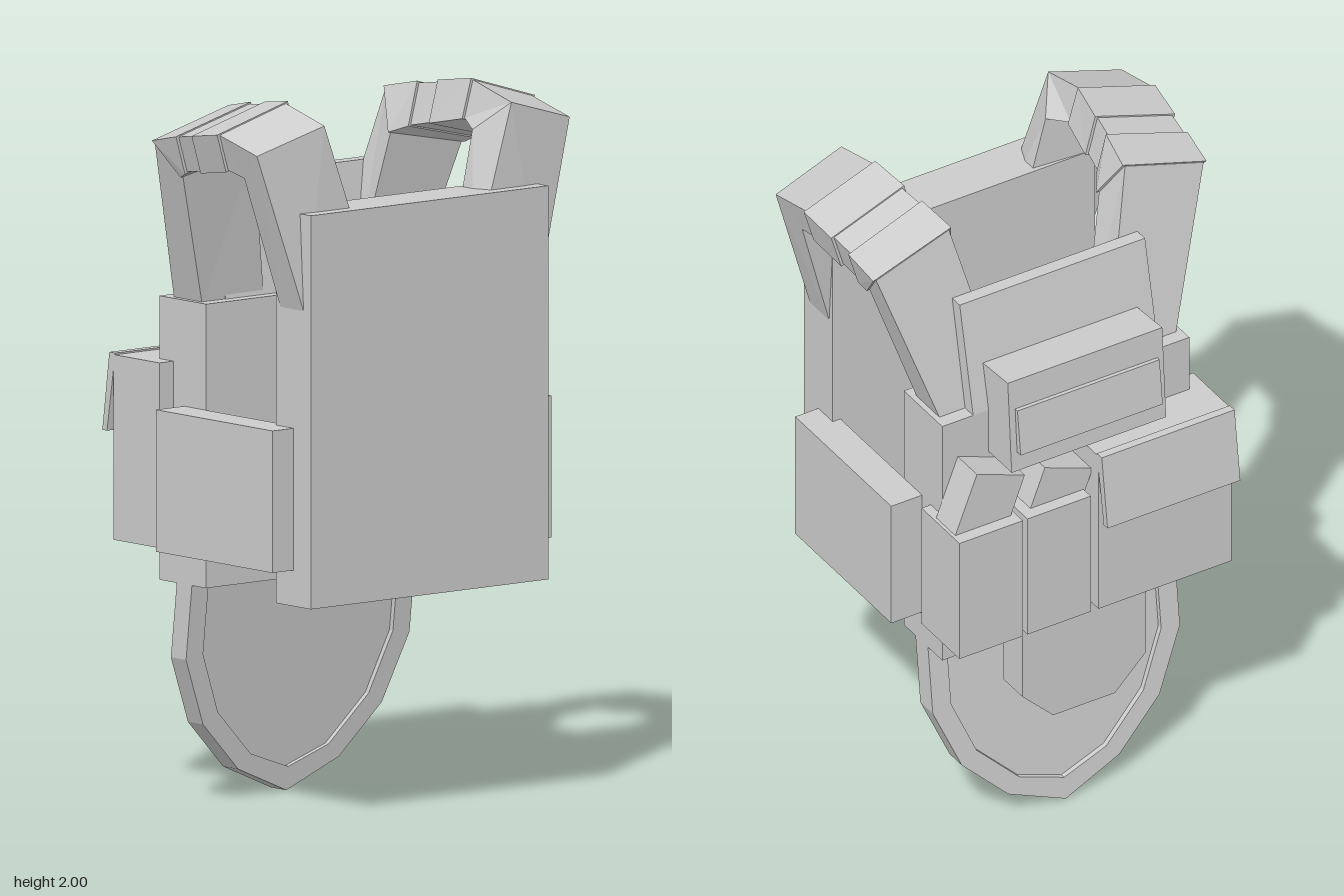
import * as THREE from 'three';

const material = new THREE.MeshStandardMaterial({ color: 0xcccccc, flatShading: true });

function add(parent, name, geometry) {
  const mesh = new THREE.Mesh(geometry, material);
  mesh.name = name;
  parent.add(mesh);
  return mesh;
}

// Box from its limits on each axis
function box(x0, x1, y0, y1, z0, z1) {
  return new THREE.BoxGeometry(x1 - x0, y1 - y0, z1 - z0)
    .translate((x0 + x1) / 2, (y0 + y1) / 2, (z0 + z1) / 2);
}

// Closed solid through convex cross-sections, turned so its faces point outward
function loft(rings) {
  const tris = [];
  const n = rings[0].length;
  const first = rings[0], last = rings[rings.length - 1];
  for (let r = 0; r < rings.length - 1; r++) {
    for (let i = 0; i < n; i++) {
      const j = (i + 1) % n;
      const a = rings[r][i], b = rings[r][j], c = rings[r + 1][j], d = rings[r + 1][i];
      tris.push([a, b, c], [a, c, d]);
    }
  }
  for (let i = 1; i < n - 1; i++) {
    tris.push([first[0], first[i + 1], first[i]], [last[0], last[i], last[i + 1]]);
  }
  let volume = 0;
  for (const [a, b, c] of tris) {
    volume += new THREE.Vector3(...a).dot(new THREE.Vector3(...b).cross(new THREE.Vector3(...c)));
  }
  if (volume < 0) tris.forEach(t => t.reverse());
  const geometry = new THREE.BufferGeometry();
  geometry.setAttribute('position', new THREE.Float32BufferAttribute(tris.flat(2), 3));
  geometry.computeVertexNormals();
  return geometry;
}

// Side profile of [z, y] points carried across x
const sideProfile = (points, x0, x1) =>
  loft([x0, x1].map(x => points.map(([z, y]) => [x, y, z])));

// Outline of [x, y] points carried through z
const frontProfile = (points, z0, z1) =>
  loft([z0, z1].map(z => points.map(([x, y]) => [x, y, z])));

// Shoulder strap sections: outer top, inner top, inner bottom, outer bottom
const strapRings = [
  [[0.42, 1.43, 0.4], [0.18, 1.5, 0.4], [0.18, 1.5, 0.3], [0.42, 1.43, 0.3]],
  [[0.56, 1.885, 0.36], [0.335, 1.95, 0.38], [0.27, 1.87, 0.29], [0.53, 1.81, 0.27]],
  [[0.56, 1.925, 0.2], [0.335, 1.993, 0.215], [0.305, 1.89, 0.215], [0.53, 1.825, 0.2]],
  [[0.54, 1.895, 0], [0.305, 1.965, 0.02], [0.275, 1.85, 0.02], [0.51, 1.795, 0]],
  [[0.53, 1.87, -0.115], [0.285, 1.94, -0.1], [0.245, 1.83, -0.03], [0.5, 1.78, -0.03]],
  [[0.38, 1.4, -0.21], [0.16, 1.4, -0.21], [0.16, 1.4, -0.09], [0.38, 1.4, -0.09]],
];

function mixRings(a, b, t) {
  return a.map((p, i) => p.map((v, k) => v + (b[i][k] - v) * t));
}

// Pushes a section outward from its own middle in x and y
function swell(ring, amount) {
  const cx = ring.reduce((s, p) => s + p[0], 0) / 4;
  const cy = ring.reduce((s, p) => s + p[1], 0) / 4;
  return ring.map(([x, y, z]) => [cx + (x - cx) * (1 + amount), cy + (y - cy) * (1 + amount), z]);
}

function shoulderStrap(side) {
  const group = new THREE.Group();
  group.name = side > 0 ? 'leftShoulderStrap' : 'rightShoulderStrap';
  const flip = ring => ring.map(([x, y, z]) => [x * side, y, z]);
  add(group, 'strap', loft(strapRings.map(flip)));
  const [, , s2, s3, s4] = strapRings;
  for (const [from, to] of [[s2, mixRings(s2, s3, 0.62)], [s3, s4]]) {
    add(group, 'shoulderPad', loft([swell(from, 0.07), swell(to, 0.07)].map(flip)));
  }
  return group;
}

// Flat outline with depth, leaning backward toward its tip
function leaningPlate(points, zFront, depth) {
  const shape = new THREE.Shape(points.map(p => new THREE.Vector2(...p)));
  const geometry = new THREE.ExtrudeGeometry(shape, { depth, bevelEnabled: false });
  geometry.translate(0, 0, zFront - depth);
  const pos = geometry.attributes.position;
  for (let i = 0; i < pos.count; i++) pos.setZ(i, pos.getZ(i) + pos.getY(i) * 0.12);
  geometry.computeVertexNormals();
  return geometry;
}

function lowerFlap() {
  const group = new THREE.Group();
  group.name = 'lowerFlap';
  const mirror = half => [...half, ...half.slice(0, -1).reverse().map(([x, y]) => [-x, y])];
  const outer = mirror([[0.4, 0.62], [0.4, 0.41], [0.32, 0.22], [0.18, 0.08], [0, 0.003]]);
  const inner = mirror([[0.34, 0.62], [0.34, 0.42], [0.27, 0.25], [0.14, 0.12], [0, 0.07]]);
  add(group, 'flapRim', leaningPlate([...outer, ...inner.slice().reverse()], -0.185, 0.065));
  add(group, 'flapPanel', leaningPlate(inner, -0.2, 0.035));
  return group;
}

export function createModel() {
  const model = new THREE.Group();
  model.name = 'plateVest';

  // Main panels
  add(model, 'flatPanel', box(-0.425, 0.425, 0.62, 1.715, 0.28, 0.43));
  add(model, 'pouchPanel', box(-0.4, 0.4, 0.62, 1.41, -0.25, -0.05));
  add(model, 'upperPanel', sideProfile(
    [[-0.14, 1.74], [-0.18, 1.74], [-0.25, 1.41], [-0.085, 1.41]], -0.3, 0.3));

  // Mirrored side panels and straps
  for (const side of [1, -1]) {
    const sidePanel = box(-0.05, 0.05, 0.72, 1.115, -0.145, 0.355).translate(side * 0.45, 0, 0);
    add(model, side > 0 ? 'leftSidePanel' : 'rightSidePanel', sidePanel);
    model.add(shoulderStrap(side));
  }

  // Upper pouch with a raised front patch
  add(model, 'upperPouch', sideProfile(
    [[-0.215, 1.55], [-0.35, 1.56], [-0.37, 1.27], [-0.25, 1.27]], -0.25, 0.25));
  add(model, 'upperPouchPatch', sideProfile(
    [[-0.35, 1.47], [-0.368, 1.47], [-0.385, 1.33], [-0.36, 1.33]], -0.23, 0.23));

  // Large pouch with a hanging lid
  add(model, 'largePouch', box(-0.45, -0.02, 0.72, 1.235, -0.388, -0.19));
  add(model, 'largePouchLid', sideProfile(
    [[-0.38, 1.24], [-0.405, 1.24], [-0.435, 1.02], [-0.415, 1.02]], -0.45, -0.02));

  // Two narrow pouches, each holding a tilted block
  const narrow = [[0.225, 0.43, 0], [0.005, 0.21, -0.06]];
  for (const [x0, x1, drop] of narrow) {
    add(model, 'narrowPouch', box(x0, x1, 0.72, 1.11, -0.388, -0.19));
    const outline = [[0.125, 0.57], [-0.03, 0.51], [0.03, 0.35], [0.195, 0.39]];
    add(model, 'pouchContents', frontProfile(
      outline.map(([x, y]) => [x + x0, y + 0.72 + drop]), -0.35, -0.25));
  }

  // Hanging pouch with clipped lower corners
  add(model, 'hangingPouch', frontProfile(
    [[-0.2, 0.74], [-0.2, 0.48], [-0.1, 0.38], [0.1, 0.38], [0.2, 0.48], [0.2, 0.74]],
    -0.345, -0.245));

  model.add(lowerFlap());
  return model;
}
